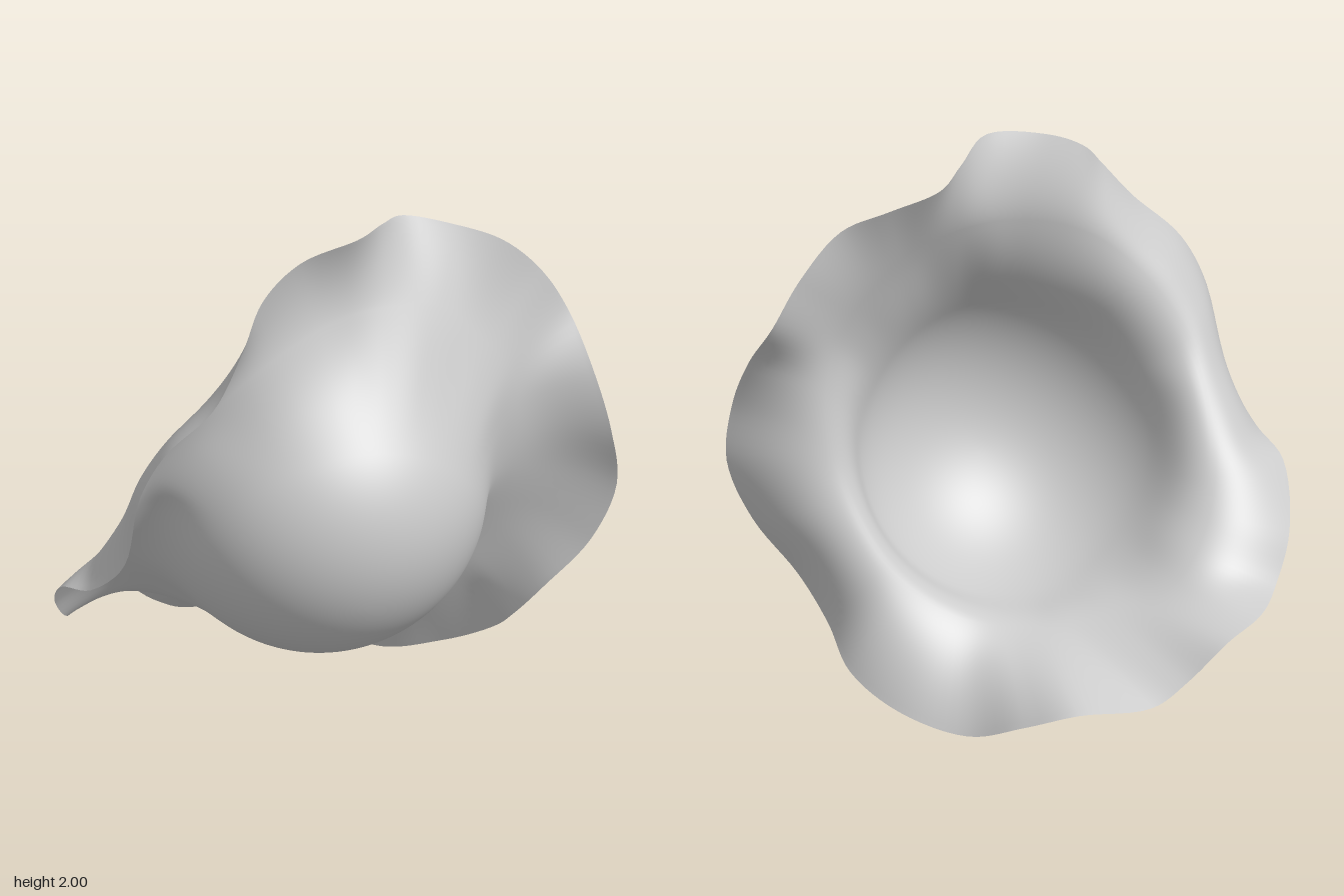
import * as THREE from 'three';

const loop = (points) => new THREE.CatmullRomCurve3(
  points.map((p) => new THREE.Vector3(...p)), true, 'centripetal');

// Wavy outer edge of the brim, clockwise from the top as seen from the front
const EDGE = loop([
  [0.02, 2, 0.31], [0.2, 1.96, 0.2], [0.33, 1.92, 0.13], [0.5, 1.86, 0.19],
  [0.65, 1.79, 0.27], [0.8, 1.63, 0.3], [0.89, 1.45, 0.34], [0.9, 1.27, 0.48],
  [0.91, 1.08, 0.57], [0.925, 0.87, 0.58], [0.85, 0.65, 0.53], [0.73, 0.45, 0.42],
  [0.685, 0.3, 0.3], [0.69, 0.17, 0.15], [0.6, 0.06, -0.03], [0.44, 0, -0.22],
  [0.33, 0.08, -0.42], [0.2, 0.15, -0.57], [-0.08, 0.13, -0.61], [-0.22, 0.2, -0.62],
  [-0.37, 0.32, -0.64], [-0.55, 0.355, -0.57], [-0.71, 0.38, -0.42], [-0.83, 0.52, -0.32],
  [-0.925, 0.7, -0.13], [-0.925, 0.77, 0.05], [-0.895, 0.94, 0.22], [-0.87, 1.23, 0.28],
  [-0.8, 1.41, 0.34], [-0.65, 1.57, 0.41], [-0.5, 1.74, 0.37], [-0.37, 1.87, 0.3],
  [-0.2, 1.96, 0.28],
]);

// Valley between crown and brim: one point for every third edge point
const FOLD = loop([
  [0.02, 1.68, 0.27], [0.38, 1.6, 0.3], [0.62, 1.3, 0.36], [0.66, 0.88, 0.31],
  [0.55, 0.53, 0.15], [0.3, 0.33, 0], [-0.03, 0.3, -0.16], [-0.38, 0.42, -0.29],
  [-0.62, 0.72, -0.17], [-0.67, 1.15, 0.08], [-0.4, 1.53, 0.24],
]);

const CENTER = new THREE.Vector3(0.03, 0.9, 0.05); // centre of the round crown
const AXIS = new THREE.Vector3(-0.27, -0.38, 0.89).normalize(); // the crown points this way
const RADIUS = 0.59;
const CAP = THREE.MathUtils.degToRad(60); // extent of the round part
const SEGMENTS = 198, CROWN_ROWS = 24, SIDE_ROWS = 16, BRIM_ROWS = 18;
const ROWS = CROWN_ROWS + SIDE_ROWS + BRIM_ROWS + 1;

// One line of points from the crown's apex, through the fold, to the edge
function section(t) {
  const fold = FOLD.getPoint(t), edge = EDGE.getPoint(t);
  const out = fold.clone().sub(CENTER);
  out.addScaledVector(AXIS, -out.dot(AXIS)).normalize();
  const onCrown = (a) => CENTER.clone()
    .addScaledVector(AXIS, RADIUS * Math.cos(a))
    .addScaledVector(out, RADIUS * Math.sin(a));
  const crown = [];
  for (let i = 0; i < CROWN_ROWS; i++) crown.push(onCrown((CAP * i) / CROWN_ROWS));

  // The side leaves the round part tangentially and turns smoothly at the fold
  const start = onCrown(CAP);
  const tangent = out.clone().multiplyScalar(Math.cos(CAP)).addScaledVector(AXIS, -Math.sin(CAP));
  const turn = edge.clone().sub(start).normalize();
  const reach = 0.38 * start.distanceTo(fold);
  const side = new THREE.CubicBezierCurve3(
    start,
    start.clone().addScaledVector(tangent, reach),
    fold.clone().addScaledVector(turn, -reach),
    fold,
  ).getPoints(SIDE_ROWS);
  const brim = new THREE.QuadraticBezierCurve3(
    fold,
    fold.clone().addScaledVector(turn, 0.45 * fold.distanceTo(edge)),
    edge,
  ).getPoints(BRIM_ROWS);
  return [...crown, ...side, ...brim.slice(1)];
}

export function createModel() {
  const positions = [], index = [];
  for (let s = 0; s < SEGMENTS; s++) {
    for (const p of section(s / SEGMENTS)) positions.push(p.x, p.y, p.z);
    const a = s * ROWS, b = ((s + 1) % SEGMENTS) * ROWS;
    for (let r = 0; r < ROWS - 1; r++) {
      if (r > 0) index.push(a + r, b + r, a + r + 1);
      index.push(b + r, b + r + 1, a + r + 1);
    }
  }

  const geometry = new THREE.BufferGeometry();
  geometry.setAttribute('position', new THREE.Float32BufferAttribute(positions, 3));
  geometry.setIndex(index);
  geometry.computeVertexNormals();
  // All lines share the apex, so they share its normal
  for (let s = 0; s < SEGMENTS; s++) {
    geometry.attributes.normal.setXYZ(s * ROWS, AXIS.x, AXIS.y, AXIS.z);
  }

  const hat = new THREE.Mesh(
    geometry,
    new THREE.MeshStandardMaterial({ color: 0xcccccc, side: THREE.DoubleSide }),
  );
  hat.name = 'floppyHat';
  const group = new THREE.Group();
  group.name = 'hat';
  group.add(hat);
  return group;
}
